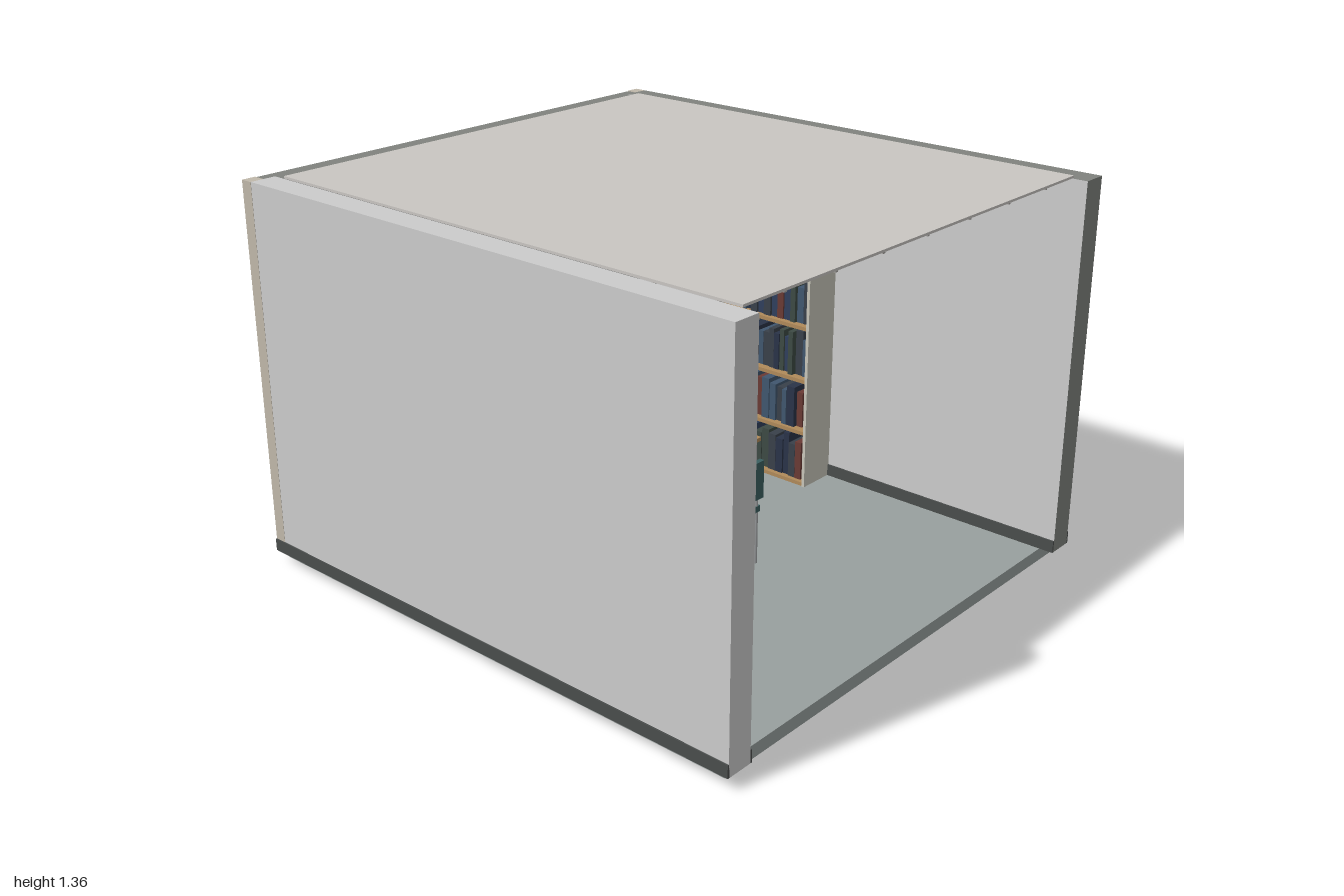
import * as THREE from 'three';

const mats = {};
const mat = (c) => (mats[c] ??= new THREE.MeshStandardMaterial({ color: c }));

// Box given by its extents; color may be a list of six face colors
function box(parent, name, color, x0, x1, y0, y1, z0, z1) {
  const material = Array.isArray(color) ? color.map(mat) : mat(color);
  const mesh = new THREE.Mesh(new THREE.BoxGeometry(x1 - x0, y1 - y0, z1 - z0), material);
  mesh.position.set((x0 + x1) / 2, (y0 + y1) / 2, (z0 + z1) / 2);
  mesh.name = name;
  parent.add(mesh);
  return mesh;
}

function rod(parent, name, color, r, x, y0, y1, z) {
  const mesh = new THREE.Mesh(new THREE.CylinderGeometry(r, r, y1 - y0, 12), mat(color));
  mesh.position.set(x, (y0 + y1) / 2, z);
  mesh.name = name;
  parent.add(mesh);
}

function group(parent, name) {
  const g = new THREE.Group();
  g.name = name;
  parent.add(g);
  return g;
}

const WALL = 0xc8cac6, DARK = 0x80837e, SKIRT = 0x4a4d4c, POST = 0xc0b8aa;
const STEEL = 0x5c5e66, WOOD = 0xb08a5a, BLACK = 0x1c1d1f, SILVER = 0x9a9c9e;
const CREAM = 0xc8c6ba, TEAL = 0x3b5f60;
const F = 0.045, H = 1.345; // floor level, wall top

function buildShell(root) {
  const g = group(root, 'room');
  box(g, 'floor', 0x98a09e, -1, 0.95, 0, F, -0.91, 0.87);
  box(g, 'frontWall', WALL, -0.955, 1, F, H, 0.82, 0.912);
  // the back and side walls are pale only on their room side
  box(g, 'backWall', [DARK, DARK, DARK, DARK, WALL, DARK], -0.955, 1, F, H, -0.912, -0.82);
  box(g, 'sideWall', [WALL, DARK, DARK, DARK, DARK, DARK], -0.998, -0.905, F, H - 0.002, -0.866, 0.866);
  for (const s of [-1, 1]) {
    const z = s * 0.8885;
    box(g, 'cornerPost', POST, -0.999, -0.954, F, H, z - 0.0245, z + 0.0245);
    // skirting on both faces of the long walls
    for (const c of [s * 0.9135, s * 0.8175]) box(g, 'skirting', SKIRT, c * s > 0.9 ? -1 : -0.9, 1, F, 0.088, c - 0.0035, c + 0.0035);
  }
  for (const x of [-0.9985, -0.902]) box(g, 'skirting', SKIRT, x - 0.0015, x + 0.004, F, 0.088, x < -0.95 ? -0.915 : -0.82, x < -0.95 ? 0.915 : 0.82);
}

function buildCeiling(root) {
  const g = group(root, 'ceiling');
  box(g, 'ceilingPanel', 0xc9c6c2, -0.905, 0.95, 1.347, 1.355, -0.822, 0.822);
  const step = 0.217;
  for (let i = -3; i <= 3; i++) box(g, 'ceilingBar', 0xa8a5a2, -0.905, 0.95, 1.343, 1.347, i * step - 0.005, i * step + 0.005);
  for (let i = -4; i <= 4; i++) box(g, 'ceilingBar', 0xa8a5a2, i * step - 0.005, i * step + 0.005, 1.3425, 1.347, -0.82, 0.82);
  box(g, 'lightPanel', 0xdcdcd8, -0.21, 0.21, 1.335, 1.347, -0.105, 0.105);
}

function buildDesk(root) {
  const g = group(root, 'desk');
  const x0 = -0.25, x1 = 0.1;
  box(g, 'deskTop', WOOD, x0, x1, 0.355, 0.37, -0.345, 0.345);
  for (const z of [-0.333, 0.333])
    for (const x of [x0 + 0.02, x1 - 0.02]) box(g, 'deskLeg', SILVER, x - 0.007, x + 0.007, F, 0.355, z - 0.007, z + 0.007);
  for (const z of [-0.333, 0.333]) box(g, 'deskRail', SILVER, x0 + 0.02, x1 - 0.02, 0.342, 0.355, z - 0.006, z + 0.006);
  box(g, 'modestyPanel', STEEL, x0 + 0.02, x0 + 0.03, 0.18, 0.35, -0.325, 0.33);
  box(g, 'drawerUnit', CREAM, x0 + 0.04, x1 - 0.02, F, 0.345, -0.325, -0.142);
  [[0.29, 0.342], [0.205, 0.285], [0.055, 0.2]].forEach(([a, b]) => {
    box(g, 'drawerFront', CREAM, x1 - 0.02, x1 - 0.015, a, b, -0.32, -0.147);
    box(g, 'drawerHandle', SILVER, x1 - 0.015, x1 - 0.008, b - 0.032, b - 0.025, -0.265, -0.202);
  });

  // desktop equipment
  const d = group(root, 'deskEquipment');
  box(d, 'monitor', BLACK, -0.15, -0.132, 0.465, 0.61, 0.035, 0.275);
  box(d, 'monitorNeck', BLACK, -0.165, -0.15, 0.375, 0.5, 0.145, 0.168);
  box(d, 'monitorBase', BLACK, -0.19, -0.1, 0.37, 0.376, 0.1, 0.21);
  box(d, 'keyboard', 0x2a2b2d, -0.04, 0.025, 0.37, 0.378, 0.05, 0.24);
  for (let r = 0; r < 4; r++)
    for (let k = 0; k < 12; k++) {
      const x = -0.036 + r * 0.015, z = 0.055 + k * 0.0152;
      box(d, 'key', 0x4a4a4c, x, x + 0.011, 0.378, 0.381, z, z + 0.012);
    }
  const mouse = new THREE.Mesh(new THREE.SphereGeometry(0.01, 16, 10), mat(BLACK));
  mouse.name = 'mouse';
  mouse.scale.set(1.6, 0.8, 1);
  mouse.position.set(-0.005, 0.376, 0.285);
  d.add(mouse);
  box(d, 'phoneBase', SILVER, -0.09, 0, 0.37, 0.392, -0.28, -0.198);
  box(d, 'phoneHandset', 0x6a6c6e, -0.08, -0.01, 0.396, 0.41, -0.225, -0.202);
  for (let i = 0; i < 9; i++) {
    const x = -0.075 + Math.floor(i / 3) * 0.022, z = -0.272 + (i % 3) * 0.014;
    box(d, 'phoneButton', 0x55585a, x, x + 0.014, 0.392, 0.396, z, z + 0.009);
  }
  rod(d, 'penPot', BLACK, 0.014, -0.19, 0.37, 0.41, -0.01);
  for (const o of [-0.005, 0.004]) rod(d, 'pen', BLACK, 0.003, -0.19 + o, 0.38, 0.448, -0.01 + o);
}

function buildChair(root) {
  const g = group(root, 'chair');
  box(g, 'chairSeat', TEAL, 0.1, 0.29, 0.235, 0.257, -0.105, 0.105);
  box(g, 'chairBack', TEAL, 0.285, 0.303, 0.29, 0.425, -0.105, 0.105);
  for (const z of [-0.092, 0.092]) {
    rod(g, 'chairFrontLeg', SILVER, 0.006, 0.112, F, 0.236, z);
    rod(g, 'chairBackLeg', SILVER, 0.006, 0.284, F, 0.4, z);
    box(g, 'chairSideRail', SILVER, 0.112, 0.284, 0.222, 0.234, z - 0.005, z + 0.005);
  }
}

function buildFilingCabinet(root) {
  const g = group(root, 'filingCabinet');
  const x0 = -0.85, x1 = -0.63;
  box(g, 'cabinetBody', STEEL, x0, x1, F, 0.62, 0.543, 0.81);
  for (let i = 0; i < 4; i++) {
    const y = 0.057 + i * 0.14;
    box(g, 'cabinetDrawer', STEEL, x0 + 0.008, x1 - 0.008, y, y + 0.133, 0.537, 0.543);
    box(g, 'cabinetHandle', BLACK, -0.775, -0.705, y + 0.088, y + 0.097, 0.527, 0.537);
    box(g, 'labelHolder', SILVER, -0.76, -0.72, y + 0.105, y + 0.12, 0.534, 0.537);
  }
}

function buildBookcase(root) {
  const g = group(root, 'bookcase');
  const x0 = -0.37, x1 = 0.05, top = 0.87, zb = -0.82, zf = -0.67;
  for (const x of [x0, x1 - 0.012]) box(g, 'bookcaseSide', CREAM, x, x + 0.012, F, top, zb, zf);
  box(g, 'bookcaseBack', CREAM, x0 + 0.012, x1 - 0.012, F, top, zb, zb + 0.008);
  const step = (top - F - 0.014) / 4;
  for (let i = 0; i <= 4; i++) box(g, 'shelf', WOOD, x0 + 0.012, x1 - 0.012, F + i * step, F + i * step + 0.014, zb + 0.008, zf - 0.003);
  // rows of books from a small seeded sequence
  let seed = 7;
  const rnd = () => (seed = (seed * 16807) % 2147483647) / 2147483647;
  const colors = [0x2f3f5c, 0x2a3348, 0x40566e, 0x6a3a34, 0x3d4a44, 0x39404a];
  for (let i = 0; i < 4; i++) {
    const y = F + i * step + 0.014;
    for (let x = x0 + 0.016; x < x1 - 0.045;) {
      const w = 0.018 + rnd() * 0.016;
      box(g, 'book', colors[Math.floor(rnd() * 6)], x, x + w, y, y + 0.13 + rnd() * 0.04, zb + 0.01, zf - 0.015 - rnd() * 0.02);
      x += w + 0.002;
    }
  }
}

function buildWallItems(root) {
  const g = group(root, 'pictureFrame');
  const xa = -0.905, xb = -0.89;
  box(g, 'picture', 0xcfcac2, xa, xb - 0.004, 0.655, 0.825, 0.375, 0.5);
  for (const y of [0.65, 0.822]) box(g, 'frameRail', BLACK, xa, xb, y, y + 0.01, 0.37, 0.505);
  for (const z of [0.37, 0.495]) box(g, 'frameStile', BLACK, xa, xb, 0.65, 0.832, z, z + 0.01);
  // bright block behind the desk
  box(root, 'magentaBlock', 0xdd10dd, -0.62, -0.36, F, 0.5, -0.13, 0.13);
}

export function createModel() {
  const root = new THREE.Group();
  root.name = 'office';
  [buildShell, buildCeiling, buildDesk, buildChair, buildFilingCabinet, buildBookcase, buildWallItems].forEach((build) => build(root));
  return root;
}
